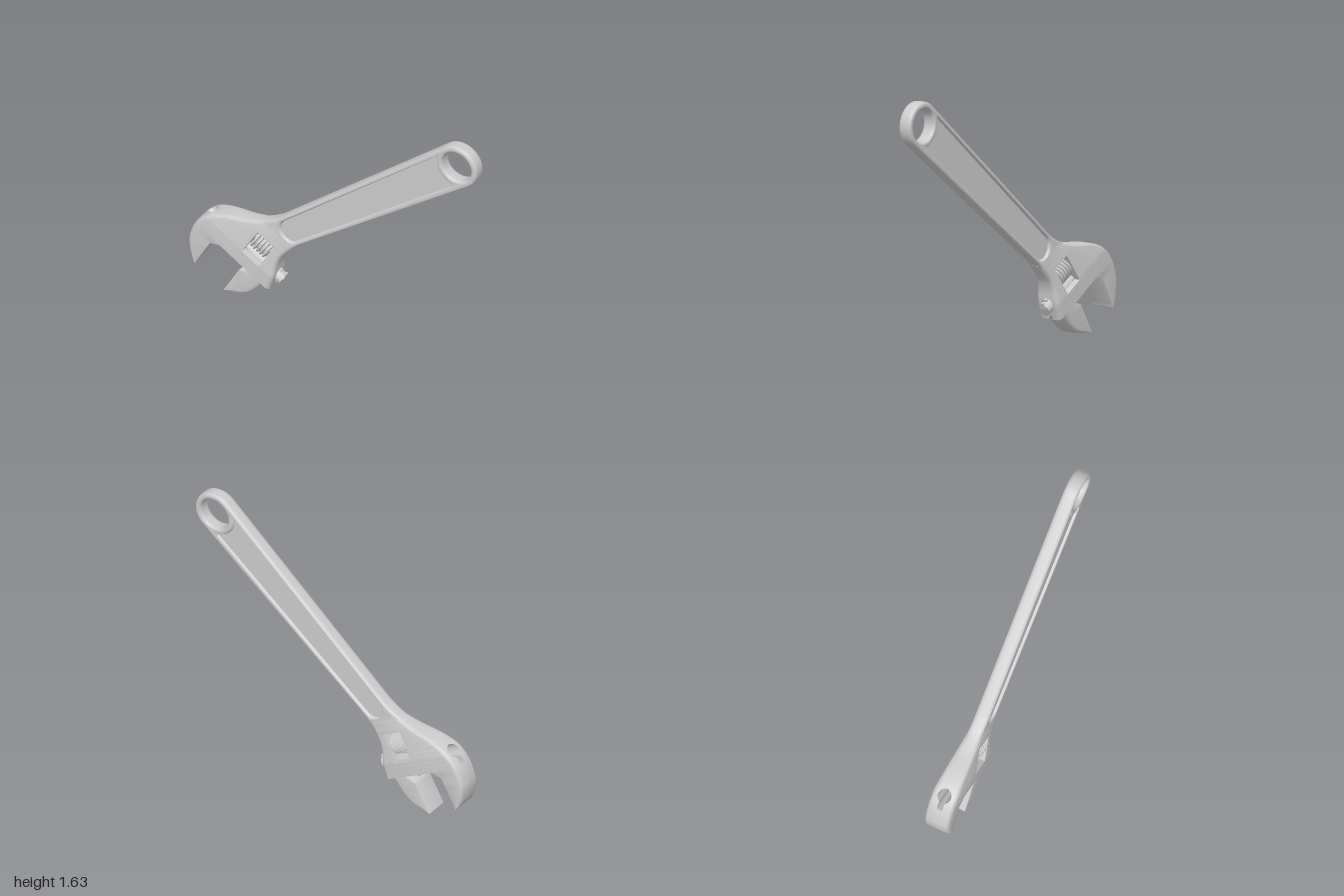
import * as THREE from 'three';
import { toCreasedNormals, mergeGeometries } from 'three/addons/utils/BufferGeometryUtils.js';

const steel = new THREE.MeshStandardMaterial({ color: 0xcccccc });

function addMesh(parent, name, geometry, crease = 0.6) {
  const mesh = new THREE.Mesh(toCreasedNormals(geometry, crease), steel);
  mesh.name = name;
  parent.add(mesh);
  return mesh;
}

// Edge given as [across, height] points; returns across as a function of height
function edge(points, smooth = true) {
  const v = points.map(([x, y]) => new THREE.Vector2(x, y));
  const line = smooth ? new THREE.SplineCurve(v).getPoints(80) : v;
  return (y) => {
    let i = 1;
    while (i < line.length - 1 && line[i].y < y) i++;
    const a = line[i - 1], b = line[i];
    const k = THREE.MathUtils.clamp((y - a.y) / (b.y - a.y || 1), 0, 1);
    return a.x + (b.x - a.x) * k;
  };
}

// Half-thickness solid lofted upward, with rounded outer corners; side is +1 front, -1 back
function loftHalf(side, { from, to, left, right, inner, outer, rl = 0, rr = 0, rows = 14 }) {
  const rings = [];
  const arc = 5;
  for (let r = 0; r <= rows; r++) {
    const y = from + ((to - from) * r) / rows;
    const l = left(y), w = Math.max(right(y) - l, 0.001), z0 = inner(y), z1 = outer(y);
    const a = Math.min(rl, w / 2), b = Math.min(rr, w / 2);
    const ring = [[l, z0], [l + w, z0]];
    for (let i = 0; i <= arc; i++) {
      const t = (i / arc) * Math.PI / 2;
      ring.push([l + w - b + b * Math.cos(t), z1 - b + b * Math.sin(t)]);
    }
    for (let i = 0; i <= arc; i++) {
      const t = (i / arc) * Math.PI / 2;
      ring.push([l + a - a * Math.sin(t), z1 - a + a * Math.cos(t)]);
    }
    rings.push(ring.map(([x, z]) => [x, y, z * side]));
  }
  const n = rings[0].length, index = [];
  const tri = (a, b, c) => (side > 0 ? index.push(a, b, c) : index.push(a, c, b));
  for (let r = 0; r < rows; r++) {
    for (let i = 0; i < n; i++) {
      const a = r * n + i, b = r * n + ((i + 1) % n);
      tri(a, a + n, b);
      tri(b, a + n, b + n);
    }
  }
  const top = rows * n;
  for (let i = 1; i < n - 1; i++) {
    tri(0, i, i + 1);
    tri(top, top + i + 1, top + i);
  }
  const g = new THREE.BufferGeometry();
  g.setAttribute('position', new THREE.Float32BufferAttribute(rings.flat(2), 3));
  g.setIndex(index);
  return g;
}

function loftBoth(pieces) {
  return mergeGeometries(pieces.flatMap((p) => [loftHalf(1, p), loftHalf(-1, p)]));
}

function buildHandle(group) {
  const cx = 0.853, cy = 1.5, R = 0.142, T = 0.043;
  // Tapered bar with a round eye at its end
  const bar = new THREE.Shape();
  bar.moveTo(-0.52, 0.58);
  bar.lineTo(-0.31, 0.448);
  bar.lineTo(-0.26, 0.495);
  bar.absarc(cx, cy, R, -0.932, 2.267, false);
  bar.lineTo(-0.366, 0.671);
  bar.quadraticCurveTo(-0.41, 0.634, -0.473, 0.602);
  bar.closePath();
  bar.holes.push(new THREE.Path().absarc(cx, cy, 0.1, 0, Math.PI * 2, true));

  const recess = new THREE.Shape();
  recess.moveTo(-0.278, 0.52);
  recess.lineTo(0.837, 1.361);
  recess.absarc(cx, cy, R, 4.597, 2.95, true);
  recess.lineTo(-0.356, 0.639);
  recess.bezierCurveTo(-0.42, 0.58, -0.34, 0.48, -0.278, 0.52);
  bar.holes.push(recess);

  const b = 0.025;
  const rim = new THREE.ExtrudeGeometry(bar, {
    depth: 2 * (T - b), bevelThickness: b, bevelSize: 0.015, bevelOffset: -0.015,
    bevelSegments: 5, curveSegments: 32,
  }).translate(0, 0, b - T);
  addMesh(group, 'handleRim', rim, 0.7);

  const web = new THREE.ExtrudeGeometry(recess, { depth: 0.052, bevelEnabled: false, curveSegments: 32 });
  addMesh(group, 'handlePanel', web.translate(0, 0, -0.026));
}

function buildHead(head) {
  const back = edge([[-0.443, -0.26], [-0.488, -0.237], [-0.529, -0.2], [-0.578, -0.123], [-0.597, -0.003],
    [-0.567, 0.102], [-0.495, 0.189], [-0.368, 0.29], [-0.273, 0.391], [-0.217, 0.506]]);
  const heel = edge([[0, 0], [-0.008, 0.033], [-0.025, 0.104], [-0.058, 0.19], [-0.064, 0.273],
    [-0.034, 0.41], [-0.011, 0.474]]);
  const jawFace = edge([[-0.443, -0.26], [-0.447, -0.043], [-0.392, 0]], false);
  // Thick along the slide, thinning towards the handle
  const outer = (y) => Math.max(0.044, 0.08 - 0.13 * Math.max(0, y - 0.1));
  // Keyhole channel for the sliding rod
  const inner = (y) => Math.max(y > 0 && y < 0.06 ? 0.018 : 0,
    Math.sqrt(Math.max(0, 0.042 ** 2 - (y - 0.09) ** 2)));
  const base = { inner, outer, left: back, right: heel, rl: 0.03, rr: 0.028 };
  const w = { x0: -0.27, x1: -0.135, y0: 0.095, y1: 0.282 };
  addMesh(head, 'headAndFixedJaw', loftBoth([
    { ...base, from: -0.26, to: 0, right: jawFace, rr: 0.004, rows: 24 },
    { ...base, from: 0.0005, to: w.y0, rows: 16 },
    { ...base, from: w.y0, to: w.y1, right: () => w.x0, rr: 0, rows: 24 },
    { ...base, from: w.y0, to: w.y1, left: () => w.x1, rl: 0, rows: 24 },
    { ...base, from: w.y1, to: 0.38 },
  ]));

  // Adjusting screw in the window
  const profile = [[0, -0.06]];
  const ridges = 5, pitch = 0.12 / ridges;
  for (let i = 0; i < ridges; i++) {
    const y = -0.06 + i * pitch;
    profile.push([0.05, y], [0.068, y + pitch * 0.25], [0.068, y + pitch * 0.6], [0.05, y + pitch * 0.85]);
  }
  profile.push([0.05, 0.06], [0, 0.06]);
  const screw = new THREE.LatheGeometry(profile.map(([x, y]) => new THREE.Vector2(x, y)), 32);
  addMesh(head, 'adjustingScrew', screw.rotateZ(-Math.PI / 2).translate(-0.2025, 0.195, 0), 0.5);
  const pin = new THREE.CylinderGeometry(0.018, 0.018, 0.16, 16);
  addMesh(head, 'screwPin', pin.rotateZ(-Math.PI / 2).translate(-0.2025, 0.195, 0));
}

function buildMovingJaw(head) {
  const jaw = new THREE.Group();
  jaw.name = 'movingJaw';
  head.add(jaw);
  addMesh(jaw, 'jawBlock', loftBoth([{
    from: -0.263, to: -0.001, rows: 24, rl: 0.004, rr: 0.03,
    left: edge([[-0.21, -0.263], [-0.214, -0.048], [-0.163, 0]], false),
    right: edge([[-0.208, -0.263], [-0.13, -0.209], [-0.078, -0.139], [-0.05, -0.021], [-0.043, 0]]),
    inner: () => 0, outer: () => 0.072,
  }]));
  // Neck joining the jaw to its rod
  addMesh(jaw, 'jawNeck', loftBoth([{
    from: -0.045, to: 0.07, rows: 2,
    left: edge([[-0.2, -0.045], [-0.25, 0], [-0.25, 0.07]], false), right: () => -0.045,
    inner: () => 0, outer: () => 0.015,
  }]));
  const rod = new THREE.CylinderGeometry(0.039, 0.039, 0.27, 28);
  addMesh(jaw, 'slideRod', rod.rotateZ(Math.PI / 2).translate(-0.115, 0.085, 0));
  // Rack teeth along the top of the rod
  for (let i = 0; i < 7; i++) {
    const tooth = new THREE.CylinderGeometry(0.008, 0.017, 0.04, 4, 1).rotateY(Math.PI / 4);
    tooth.scale(1, 1, 1.8).translate(0.013 - i * 0.036, 0.117, 0);
    addMesh(jaw, 'rackTooth', tooth);
  }
}

export function createModel() {
  const model = new THREE.Group();
  model.name = 'adjustableWrench';
  buildHandle(model);
  // Head frame: x runs along the slide, y points towards the handle
  const head = new THREE.Group();
  head.name = 'head';
  head.position.set(-0.441, 0.126, 0);
  head.rotation.z = -0.541;
  model.add(head);
  buildHead(head);
  buildMovingJaw(head);
  return model;
}
